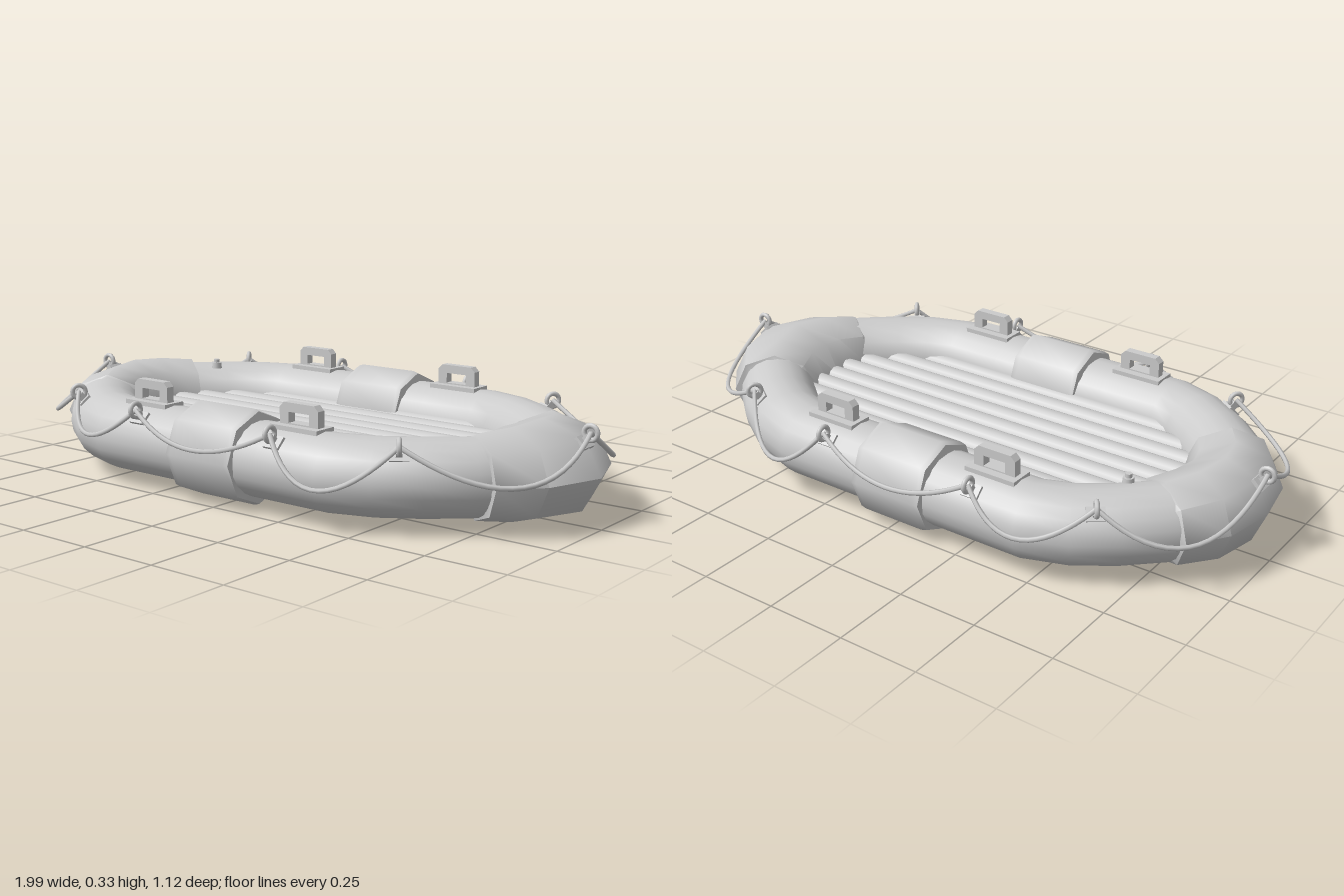
import * as THREE from 'three';
import { toCreasedNormals } from 'three/addons/utils/BufferGeometryUtils.js';

const MID_Y = 0.152;
const grey = new THREE.MeshStandardMaterial({ color: 0xcccccc });
const greyDouble = new THREE.MeshStandardMaterial({ color: 0xcccccc, side: THREE.DoubleSide });

function add(parent, name, geometry, x = 0, y = 0, z = 0, material = grey) {
  const mesh = new THREE.Mesh(geometry, material);
  mesh.name = name;
  mesh.position.set(x, y, z);
  parent.add(mesh);
  return mesh;
}

// Sweeps an oval along rings of [x, z, half width, half height]
function sweep(rings, sides, closed) {
  const pos = [], index = [], n = rings.length;
  rings.forEach(([x, z, w, h], i) => {
    const a = rings[closed ? (i + n - 1) % n : Math.max(i - 1, 0)];
    const b = rings[closed ? (i + 1) % n : Math.min(i + 1, n - 1)];
    const t = new THREE.Vector2(b[0] - a[0], b[1] - a[1]).normalize();
    for (let j = 0; j < sides; j++) {
      const q = (j / sides) * Math.PI * 2, r = Math.cos(q) * w;
      pos.push(x - t.y * r, MID_Y + Math.sin(q) * h, z + t.x * r);
    }
  });
  for (let i = 0; i < (closed ? n : n - 1); i++) {
    for (let j = 0; j < sides; j++) {
      const i2 = (i + 1) % n, j2 = (j + 1) % sides;
      const a = i * sides + j, b = i2 * sides + j, c = i * sides + j2, d = i2 * sides + j2;
      index.push(a, b, c, b, d, c);
    }
  }
  const geo = new THREE.BufferGeometry();
  geo.setAttribute('position', new THREE.Float32BufferAttribute(pos, 3));
  geo.setIndex(index);
  geo.computeVertexNormals();
  return geo;
}

// Grab handle: arched bracket with a slot, on a flat pad
function makeHandle() {
  const handle = new THREE.Group();
  handle.name = 'grabHandle';
  add(handle, 'handlePad', new THREE.BoxGeometry(0.17, 0.02, 0.08), 0, 0.262, 0);
  const s = new THREE.Shape();
  s.moveTo(-0.07, 0.26);
  s.lineTo(-0.07, 0.32);
  s.lineTo(-0.055, 0.335);
  s.lineTo(0.055, 0.335);
  s.lineTo(0.07, 0.32);
  s.lineTo(0.07, 0.26);
  const hole = new THREE.Path();
  hole.moveTo(-0.037, 0.276);
  hole.lineTo(0.037, 0.276);
  hole.lineTo(0.037, 0.308);
  hole.lineTo(-0.037, 0.308);
  s.holes.push(hole);
  add(handle, 'handleBracket', new THREE.ExtrudeGeometry(s, { depth: 0.028, bevelEnabled: false }), 0, 0, -0.014);
  return handle;
}

// Rope anchor: tilted pad, short stem and a ring; local +z points outboard
function makeAnchor() {
  const anchor = new THREE.Group();
  anchor.name = 'ropeAnchor';
  const pad = add(anchor, 'anchorPad', new THREE.BoxGeometry(0.055, 0.012, 0.042), 0, -0.028, -0.018);
  pad.rotation.x = Math.PI / 4;
  const stem = add(anchor, 'anchorStem', new THREE.BoxGeometry(0.018, 0.03, 0.022), 0, -0.02, -0.012);
  stem.rotation.x = Math.PI / 4;
  add(anchor, 'anchorRing', new THREE.TorusGeometry(0.021, 0.0075, 8, 16).rotateY(Math.PI / 2));
  return anchor;
}

export function createModel() {
  const raft = new THREE.Group();
  raft.name = 'inflatableRaft';

  // Main buoyancy tube: half outline, mirrored across z
  const half = [
    [-0.835, 0], [-0.82, 0.1], [-0.755, 0.205], [-0.66, 0.295], [-0.56, 0.365], [-0.45, 0.405],
    [-0.24, 0.405], [-0.03, 0.405], [0.18, 0.405], [0.38, 0.405], [0.5, 0.365], [0.6, 0.3],
    [0.7, 0.215], [0.77, 0.11], [0.79, 0],
  ];
  const back = half.slice(1, -1).reverse().map(([x, z]) => [x, -z]);
  const ring = [...half, ...back].map(([x, z]) => [x, z, 0.122, 0.113]);
  add(raft, 'mainTube', sweep(ring, 20, true));

  // Reinforcing sleeves, eight-sided with a small lip at each edge
  const sleeve = (name, rings) =>
    add(raft, name, toCreasedNormals(sweep(rings, 8, false), 0.9), 0, 0, 0, greyDouble);
  for (const s of [1, -1]) {
    const rings = [[-0.155, 0.118, 0.113], [-0.148, 0.138, 0.139], [-0.13, 0.14, 0.145],
      [0.08, 0.14, 0.145], [0.098, 0.138, 0.139], [0.105, 0.118, 0.113]]
      .map(([x, w, h]) => [x, s * 0.405, w, h]);
    sleeve('sideSleeve', s > 0 ? rings : rings.reverse());
  }
  const mirrorEnd = (r) => [...r, ...r.slice(0, -1).reverse().map(([x, z, w, h]) => [x, -z, w, h])];
  sleeve('leftEndSleeve', mirrorEnd([[0.713, 0.214, 0.115, 0.105], [0.717, 0.207, 0.138, 0.124],
    [0.78, 0.115, 0.165, 0.137], [0.805, 0, 0.188, 0.146]]));
  sleeve('rightEndSleeve', mirrorEnd([[-0.75, -0.212, 0.115, 0.105], [-0.755, -0.205, 0.138, 0.124],
    [-0.815, -0.11, 0.146, 0.135], [-0.838, 0, 0.142, 0.14]]));

  // Ribbed air floor; each rib ends inside the tube
  for (let i = -4; i <= 4; i++) {
    const z = i * 0.0735 - 0.005;
    const reach = 0.78 * Math.sqrt(1 - (z / 0.44) ** 2);
    const rib = add(raft, 'floorRib', new THREE.CylinderGeometry(0.039, 0.039, reach * 2, 14), -0.025, 0.145, z);
    rib.rotation.z = Math.PI / 2;
  }

  // Grab handles
  for (const x of [-0.33, 0.26]) {
    for (const z of [-0.405, 0.405]) {
      const handle = makeHandle();
      handle.position.set(x, 0, z);
      raft.add(handle);
    }
  }

  // Rope anchors: [x, y, z, outboard angle]
  const anchors = [
    [0.955, 0.275, 0, Math.PI / 2], [0.605, 0.26, 0.415, 0.62], [0.23, 0.26, 0.51, 0],
    [-0.305, 0.26, 0.51, 0], [-0.665, 0.26, 0.415, -0.65], [-0.968, 0.275, 0, -Math.PI / 2],
  ];
  // Lowest point of the rope in each span
  const sags = [[0.885, 0.16, 0.265], [0.42, 0.135, 0.545], [-0.035, 0.182, 0.55], [-0.49, 0.165, 0.54], [-0.895, 0.165, 0.3]];
  for (const s of [1, -1]) {
    anchors.forEach(([x, y, z, angle]) => {
      if (z === 0 && s < 0) return;
      const anchor = makeAnchor();
      anchor.position.set(x, y, s * z);
      anchor.rotation.y = s > 0 ? angle : Math.PI - angle;
      raft.add(anchor);
    });
    // Safety rope hanging between neighbouring anchors
    sags.forEach(([x, y, z], i) => {
      const point = ([px, py, pz]) => new THREE.Vector3(px, py, s * pz);
      const a = point(anchors[i]), b = point(anchors[i + 1]);
      const control = point([x, y, z]).multiplyScalar(2).sub(a.clone().add(b).multiplyScalar(0.5));
      const curve = new THREE.QuadraticBezierCurve3(a, control, b);
      add(raft, 'safetyRope', new THREE.TubeGeometry(curve, 20, 0.0075, 6));
    });
  }

  // Inflation valve
  add(raft, 'valveBase', new THREE.CylinderGeometry(0.016, 0.018, 0.02, 12), -0.655, 0.262, -0.23);
  add(raft, 'valveCap', new THREE.CylinderGeometry(0.01, 0.01, 0.02, 12), -0.655, 0.274, -0.23);

  return raft;
}
